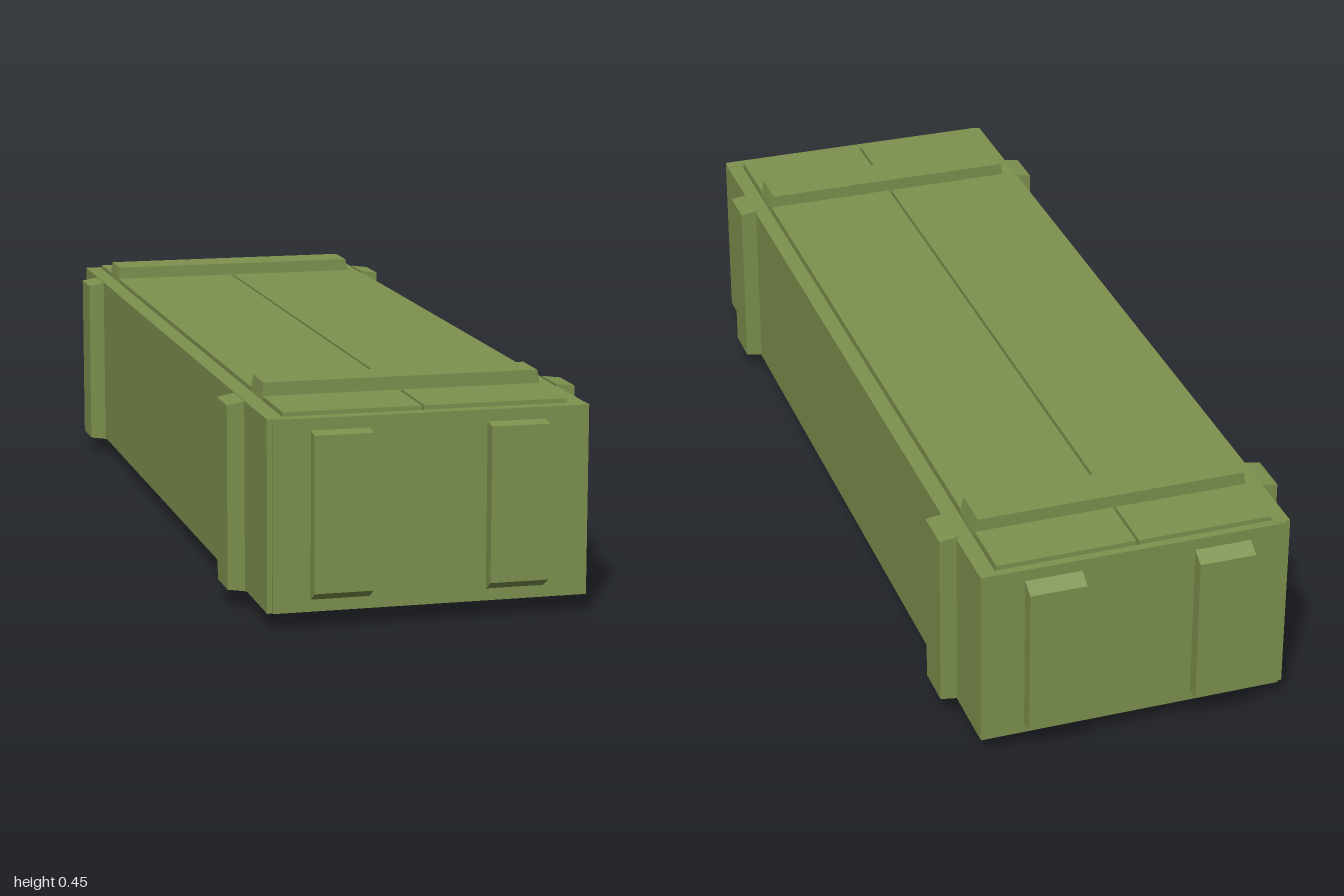
import * as THREE from 'three';

export function createModel() {
  const group = new THREE.Group();
  const paint = new THREE.MeshStandardMaterial({ color: 0x7d914e });
  paint.name = 'olive paint';

  function add(name, geometry) {
    const mesh = new THREE.Mesh(geometry, paint);
    mesh.name = name;
    group.add(mesh);
    return mesh;
  }

  // Box given by its limits on each axis
  function board(name, [x0, x1], [y0, y1], [z0, z1]) {
    add(name, new THREE.BoxGeometry(x1 - x0, y1 - y0, z1 - z0))
      .position.set((x0 + x1) / 2, (y0 + y1) / 2, (z0 + z1) / 2);
  }

  // Batten with slanted ends: a four-point outline, extruded across its width
  function prism(points, width) {
    const shape = new THREE.Shape(points.map(([u, v]) => new THREE.Vector2(u, v)));
    return new THREE.ExtrudeGeometry(shape, { depth: width, bevelEnabled: false });
  }

  // Inner core, seen only at the bottom of the gaps between boards
  board('core', [-0.3, 0.3], [0.045, 0.404], [-0.95, 0.95]);

  // Side and end walls
  board('leftWall', [0.288, 0.322], [0.036, 0.415], [-0.965, 0.965]);
  board('rightWall', [-0.322, -0.288], [0.036, 0.417], [-0.965, 0.965]);
  board('frontWall', [-0.312, 0.321], [0.036, 0.416], [0.943, 0.97]);
  board('backWall', [-0.312, 0.321], [0.036, 0.416], [-0.97, -0.953]);

  // Lid planks with a narrow gap, and the floor
  board('lidPlankRight', [-0.285, -0.009], [0.39, 0.424], [-0.95, 0.94]);
  board('lidPlankLeft', [-0.003, 0.284], [0.39, 0.424], [-0.95, 0.94]);
  board('floor', [-0.286, 0.285], [0.028, 0.06], [-0.945, 0.94]);

  // Battens around the crate near each end
  const outlines = {
    topBatten: [[-0.288, 0.415], [0.285, 0.415], [0.278, 0.451], [-0.283, 0.451]],
    bottomBatten: [[-0.28, 0], [0.282, 0], [0.286, 0.04], [-0.287, 0.04]],
    leftBatten: [[0.318, 0.037], [0.357, 0.043], [0.357, 0.415], [0.318, 0.42]],
    rightBatten: [[-0.318, 0.032], [-0.318, 0.416], [-0.357, 0.409], [-0.357, 0.038]],
  };
  for (const z of [0.685, -0.82]) {
    for (const [name, points] of Object.entries(outlines)) {
      add(name, prism(points, 0.09)).position.z = z;
    }
  }

  // Upright cleats on the end walls, outlined in z and y
  const cleats = {
    frontCleat: [[0.965, 0.057], [1, 0.078], [1, 0.388], [0.965, 0.393]],
    backCleat: [[-0.965, 0.055], [-0.965, 0.394], [-1, 0.374], [-1, 0.061]],
  };
  for (const [name, points] of Object.entries(cleats)) {
    for (const x of [-0.12, 0.232]) {
      add(name, prism(points, 0.117).rotateY(-Math.PI / 2)).position.x = x;
    }
  }

  return group;
}
